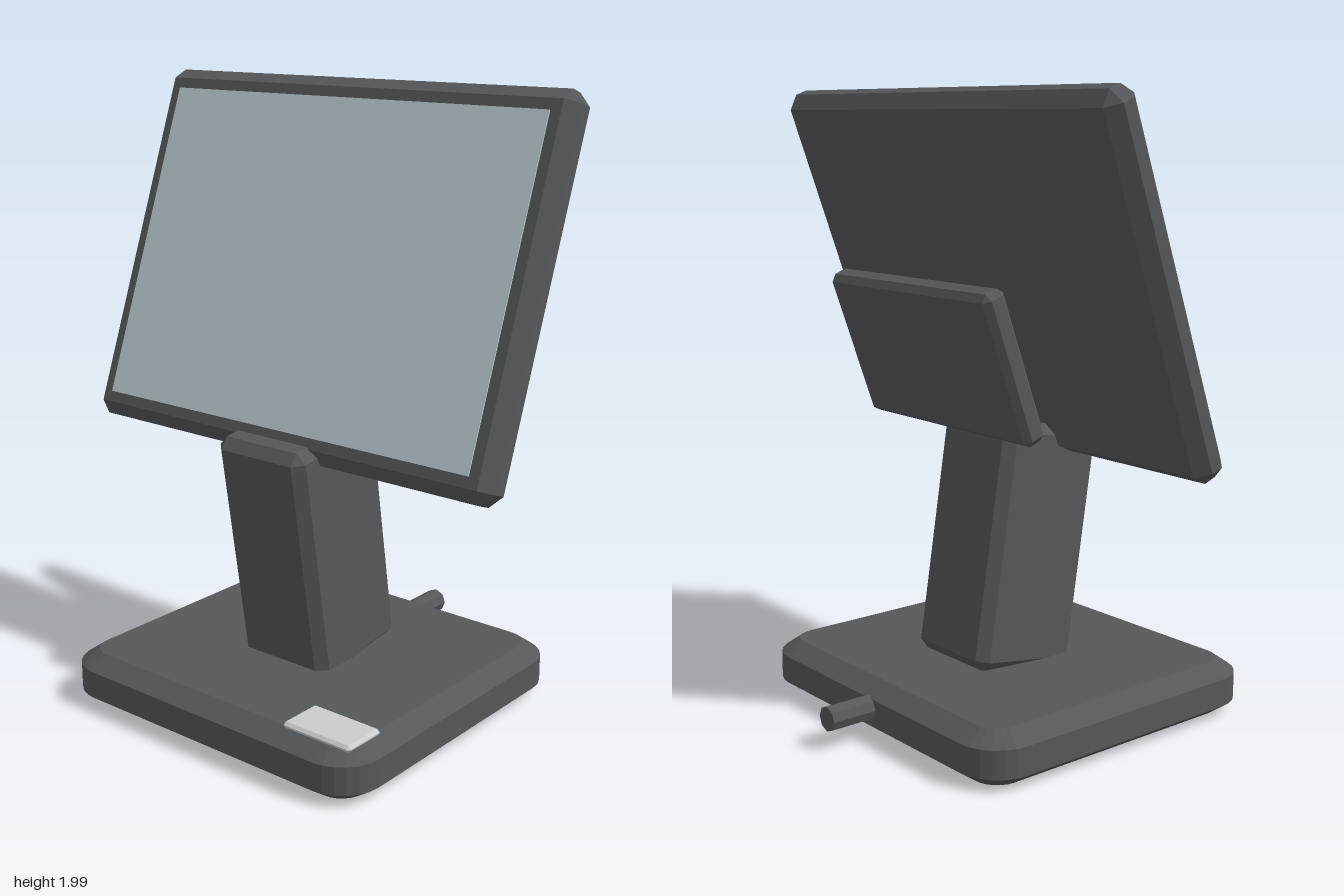
import * as THREE from 'three';
import { ConvexGeometry } from 'three/addons/geometries/ConvexGeometry.js';

const DARK = 0x54585a, GLASS = 0xbfced4, LIGHT = 0xcccccc;

function part(name, geometry, color) {
  const material = new THREE.MeshStandardMaterial({ color, flatShading: true });
  const mesh = new THREE.Mesh(geometry, material);
  mesh.name = name;
  return mesh;
}

// Box with every edge chamfered by b
function chamferBox(w, h, d, b) {
  const points = [];
  for (const x of [-1, 1]) for (const y of [-1, 1]) for (const z of [-1, 1]) {
    for (let axis = 0; axis < 3; axis++) {
      const half = [w, h, d].map((s, i) => s / 2 - (i === axis ? 0 : b));
      points.push(new THREE.Vector3(x * half[0], y * half[1], z * half[2]));
    }
  }
  return new ConvexGeometry(points);
}

function roundedRect(w, h, r) {
  const s = new THREE.Shape();
  const x = w / 2 - r, y = h / 2 - r;
  s.absarc(x, y, r, 0, Math.PI / 2);
  s.absarc(-x, y, r, Math.PI / 2, Math.PI);
  s.absarc(-x, -y, r, Math.PI, Math.PI * 1.5);
  s.absarc(x, -y, r, Math.PI * 1.5, Math.PI * 2);
  s.closePath();
  return s;
}

export function createModel() {
  const model = new THREE.Group();
  model.name = 'deskDisplay';
  const tilt = THREE.MathUtils.degToRad(-20);

  // Base plate with rounded corners and bevelled rims
  const bevel = 0.06;
  const plate = new THREE.ExtrudeGeometry(roundedRect(1.2 - 2 * bevel, 1.105 - 2 * bevel, 0.08), {
    depth: 0.09, bevelThickness: 0.0425, bevelSize: bevel, bevelSegments: 1, curveSegments: 3,
  });
  plate.rotateX(-Math.PI / 2);
  const base = part('base', plate, DARK);
  base.position.set(0, 0.0425, 0.075);
  model.add(base);

  // Forward-leaning column
  const column = part('column', chamferBox(0.35, 0.8, 0.395, 0.033), DARK);
  column.position.set(0, 0.548, 0.09);
  column.rotation.x = THREE.MathUtils.degToRad(9);
  model.add(column);

  // Leaning display with a thin glass panel on its front
  const display = new THREE.Group();
  display.name = 'display';
  display.position.set(0, 1.424, 0.018);
  display.rotation.x = tilt;
  display.add(part('housing', chamferBox(1.6, 1.2, 0.122, 0.04), DARK));
  const glass = part('screenGlass', new THREE.BoxGeometry(1.45, 1.05, 0.01), GLASS);
  glass.position.z = 0.06;
  display.add(glass);
  model.add(display);

  // Rear panel parallel to the display
  const rear = part('rearPanel', chamferBox(0.8, 0.495, 0.082, 0.02), DARK);
  rear.position.set(0, 1.187, -0.211);
  rear.rotation.x = tilt;
  model.add(rear);

  // Card lying above the front left corner of the base
  const card = part('card', chamferBox(0.25, 0.022, 0.15, 0.009), LIGHT);
  card.position.set(0.453, 0.196, 0.527);
  model.add(card);

  // Cable stub leaving the back of the base
  const stub = new THREE.CylinderGeometry(0.04, 0.04, 0.25, 8).rotateX(Math.PI / 2);
  const cable = part('cable', stub, DARK);
  cable.position.set(0, 0.1, -0.505);
  model.add(cable);

  return model;
}
